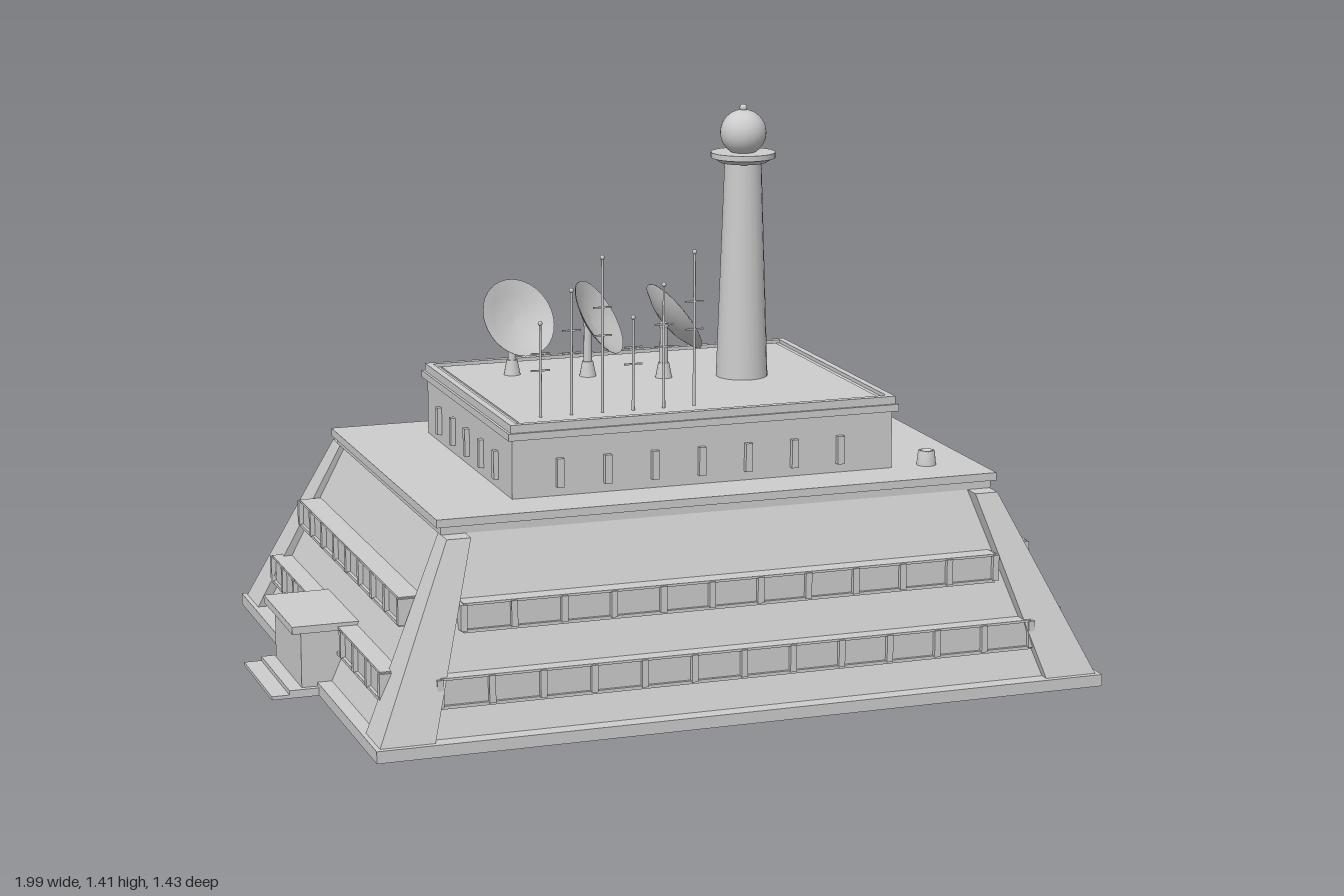
import * as THREE from 'three';

const CX = 0.057; // building centre in x

export function createModel() {
  const model = new THREE.Group();
  const grey = new THREE.MeshStandardMaterial({ color: 0xcccccc });
  grey.name = 'paleGrey';
  grey.side = THREE.DoubleSide;

  const add = (name, geo, x = 0, y = 0, z = 0, parent = model) => {
    const mesh = new THREE.Mesh(geo, grey);
    mesh.name = name;
    mesh.position.set(x, y, z);
    parent.add(mesh);
    return mesh;
  };
  // Box from its limits in each axis
  const box = (name, x0, x1, y0, y1, z0, z1, parent = model) =>
    add(name, new THREE.BoxGeometry(x1 - x0, y1 - y0, z1 - z0),
      (x0 + x1) / 2, (y0 + y1) / 2, (z0 + z1) / 2, parent);
  // Box centred on the building axis, by half widths
  const block = (name, hx, hz, y0, y1) => box(name, CX - hx, CX + hx, y0, y1, -hz, hz);
  // Tapered block between a bottom and a top rectangle [x0, x1, z0, z1]
  const taper = (name, b, t, y0, y1) => {
    const geo = new THREE.BoxGeometry(1, 1, 1);
    const p = geo.attributes.position;
    for (let i = 0; i < p.count; i++) {
      const top = p.getY(i) > 0, r = top ? t : b;
      p.setXYZ(i, p.getX(i) < 0 ? r[0] : r[1], top ? y1 : y0, p.getZ(i) < 0 ? r[2] : r[3]);
    }
    geo.computeVertexNormals();
    return add(name, geo, CX);
  };

  // Base slab, sloping walls and roof slabs
  block('baseSlab', 0.937, 0.715, 0, 0.03);
  taper('slopingWalls', [-0.9, 0.9, -0.675, 0.675], [-0.7, 0.7, -0.5, 0.5], 0.03, 0.48);
  block('lowerRoofSlab', 0.717, 0.503, 0.48, 0.5);
  block('upperRoofSlab', 0.729, 0.512, 0.5, 0.52);

  // Corner buttresses
  const span = (s, a, b) => (s > 0 ? [a, b] : [-b, -a]);
  for (const sx of [-1, 1]) {
    for (const sz of [-1, 1]) {
      taper('cornerButtress',
        [...span(sx, 0.79, 0.925), ...span(sz, 0.57, 0.7)],
        [...span(sx, 0.655, 0.715), ...span(sz, 0.475, 0.55)], 0.03, 0.48);
    }
  }

  // Window strip along one wall: half length, distance out, height, panes
  const windowStrip = (angle, half, out, y0, y1, panes) => {
    const g = new THREE.Group();
    g.name = 'windowStrip';
    g.position.x = CX;
    g.rotation.y = angle;
    box('windowPanes', -half, half, y0, y1, out - 0.1, out - 0.008, g);
    box('windowSill', -half, half, y0 - 0.005, y0 + 0.003, out - 0.1, out, g);
    box('windowLintel', -half, half, y1 - 0.003, y1 + 0.003, out - 0.1, out, g);
    for (let i = 0; i <= panes; i++) {
      const x = -half + (2 * half * i) / panes;
      box('mullion', x - 0.008, x + 0.008, y0, y1, out - 0.05, out + 0.004, g);
    }
    model.add(g);
  };
  for (const a of [0, Math.PI]) {
    windowStrip(a, 0.765, 0.658, 0.102, 0.17, 12);
    windowStrip(a, 0.69, 0.602, 0.267, 0.332, 11);
    windowStrip(a + Math.PI / 2, 0.56, 0.886, 0.102, 0.17, 9);
    windowStrip(a + Math.PI / 2, 0.5, 0.822, 0.267, 0.332, 8);
  }

  // Side entrance with canopy and steps
  box('entranceBlock', -0.92, -0.74, 0.02, 0.165, -0.14, 0.14);
  box('entranceCanopy', -0.945, -0.74, 0.163, 0.182, -0.155, 0.155);
  box('entranceUpperStep', -0.955, -0.85, 0, 0.02, -0.155, 0.155);
  box('entranceLowerStep', -1, -0.9, 0, 0.009, -0.155, 0.155);

  // Upper storey with cornice and low parapet
  block('upperStorey', 0.5, 0.378, 0.52, 0.697);
  block('cornice', 0.512, 0.392, 0.668, 0.686);
  for (const s of [-1, 1]) {
    box('parapetLong', CX - 0.505, CX + 0.505, 0.684, 0.706, s * 0.376 - 0.009, s * 0.376 + 0.009);
    const x = CX + s * 0.496;
    box('parapetShort', x - 0.009, x + 0.009, 0.684, 0.706, -0.385, 0.385);
    // Upright fins around the storey
    for (let i = -3; i <= 3; i++) {
      const fx = CX - 0.011 + i * 0.1228;
      box('fin', fx - 0.009, fx + 0.009, 0.543, 0.615, s * 0.38 - 0.012, s * 0.38 + 0.012);
    }
    for (let i = -2; i <= 2; i++) {
      const fx = CX + s * 0.5, fz = i * 0.127;
      box('fin', fx - 0.012, fx + 0.012, 0.543, 0.615, fz - 0.009, fz + 0.009);
    }
  }
  block('roofBorder', 0.47, 0.352, 0.69, 0.701);

  // Tower with collar and globe
  const tower = new THREE.Group();
  tower.name = 'tower';
  tower.position.x = 0.295;
  model.add(tower);
  add('towerShaft', new THREE.CylinderGeometry(0.047, 0.067, 0.57, 20), 0, 0.983, 0, tower);
  add('towerCollar', new THREE.CylinderGeometry(0.083, 0.083, 0.014, 32), 0, 1.277, 0, tower);
  add('collarUnderside', new THREE.CylinderGeometry(0.078, 0.06, 0.012, 32), 0, 1.264, 0, tower);
  add('globe', new THREE.SphereGeometry(0.059, 32, 20), 0, 1.334, 0, tower);
  add('beacon', new THREE.SphereGeometry(0.01, 12, 8), 0, 1.397, 0, tower);

  // Dish antennas: foot position and facing direction
  const dishProfile = [[0, 0], [0.035, 0.003], [0.07, 0.012], [0.105, 0.027],
    [0.105, 0.03], [0.07, 0.016], [0.035, 0.007], [0, 0.004]]
    .map(([r, y]) => new THREE.Vector2(r, y));
  const dishes = [
    [-0.265, -0.2, 0.26, 0.48, 0.83],
    [-0.085, -0.12, 0.69, 0.52, 0.5],
    [0.095, -0.04, 0.82, 0.56, -0.1],
  ];
  for (const [x, z, nx, ny, nz] of dishes) {
    const g = new THREE.Group();
    g.name = 'dishAntenna';
    g.position.set(x, 0.7, z);
    model.add(g);
    add('dishFoot', new THREE.CylinderGeometry(0.014, 0.022, 0.04, 16), 0, 0.02, 0, g);
    add('dishPost', new THREE.CylinderGeometry(0.01, 0.011, 0.105, 12), 0, 0.085, 0, g);
    add('dishPivot', new THREE.SphereGeometry(0.012, 12, 8), 0, 0.137, 0, g);
    const n = new THREE.Vector3(nx, ny, nz).normalize();
    const dish = add('dish', new THREE.LatheGeometry(dishProfile, 36), 0, 0.138, 0, g);
    dish.quaternion.setFromUnitVectors(new THREE.Vector3(0, 1, 0), n);
    dish.position.addScaledVector(n, 0.008);
  }

  // Row of rod aerials with crossbars
  for (let i = 0; i < 6; i++) {
    const x = -0.345 + i * 0.08, h = 0.235 + (i % 3) * 0.077;
    add('aerialRod', new THREE.CylinderGeometry(0.003, 0.004, h, 8), x, 0.7 + h / 2, 0.3);
    add('aerialTip', new THREE.SphereGeometry(0.006, 10, 8), x, 0.7 + h, 0.3);
    for (const f of [0.5, 0.68]) {
      const y = 0.7 + h * f;
      box('aerialCrossbar', x - 0.024, x + 0.024, y - 0.002, y + 0.002, 0.298, 0.302);
    }
  }

  // Roof vent
  const vent = [[0.025, 0], [0.021, 0.036], [0.015, 0.038], [0.014, 0.028], [0, 0.028]]
    .map(([r, y]) => new THREE.Vector2(r, y));
  add('roofVent', new THREE.LatheGeometry(vent, 20), 0.655, 0.52, 0.373);

  return model;
}
